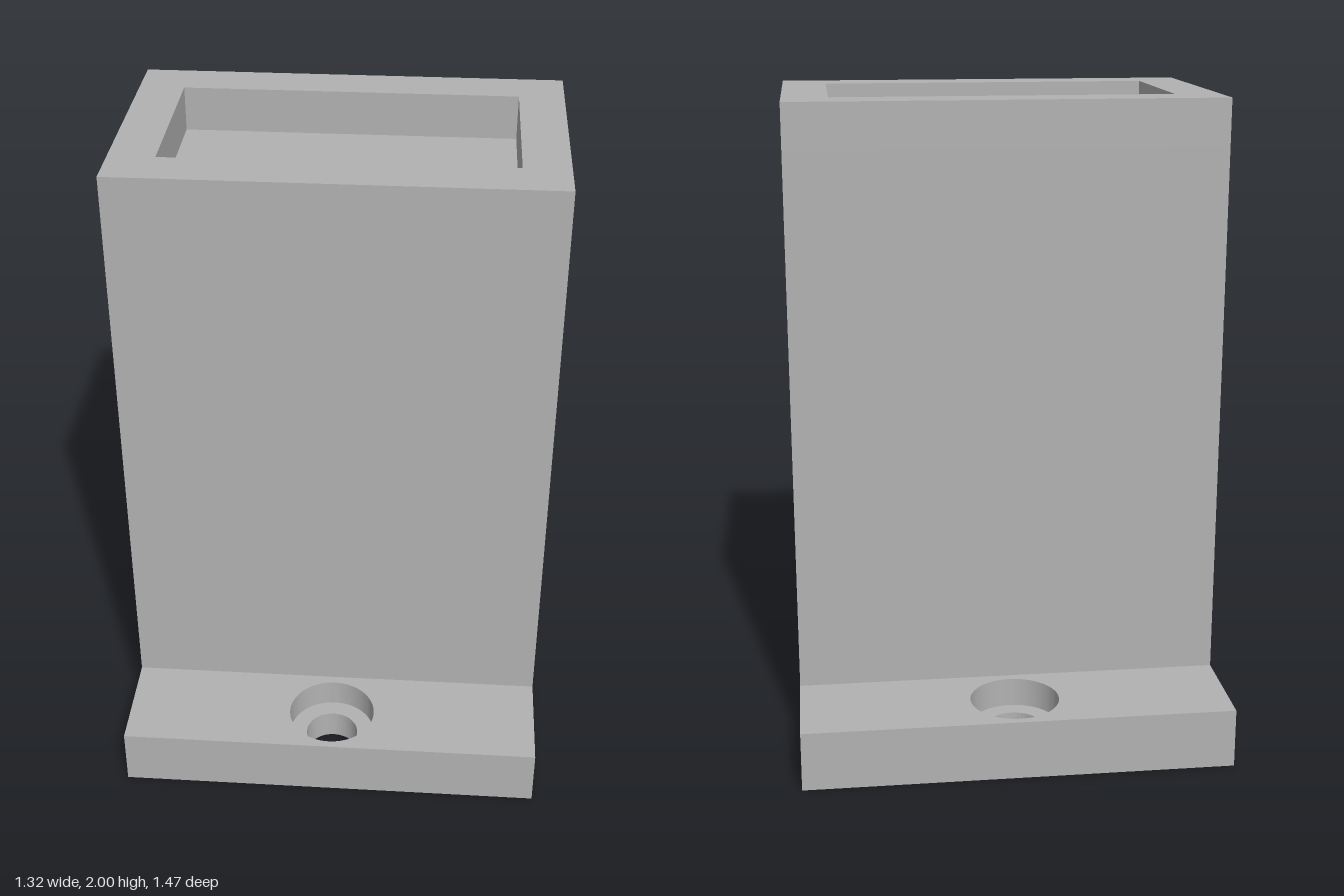
import * as THREE from 'three';
import { toCreasedNormals } from 'three/addons/utils/BufferGeometryUtils.js';

const HALF_W = 0.66, BASE_Z = 0.733, COLUMN_Z = 0.407;
const BASE_TOP = 0.185, SEAT_Y = 0.095, POCKET_Y = 1.86, TOP = 2;
const POCKET_X = 0.52, POCKET_Z = 0.263;
const HOLE_Z = 0.572, BORE_R = 0.083, COUNTERBORE_R = 0.137;

// Outlines are drawn in (x, -z) and laid flat
function trace(path, points) {
  return path.setFromPoints(points.map(([x, y]) => new THREE.Vector2(x, y)));
}
function rect(halfX, y0, y1, holes = []) {
  const shape = trace(new THREE.Shape(), [[-halfX, y0], [halfX, y0], [halfX, y1], [-halfX, y1]]);
  shape.holes.push(...holes);
  return shape;
}
function circle(y, radius, Type = THREE.Path) {
  return new Type().absarc(0, y, radius, 0, Math.PI * 2, false);
}
const bothHoles = (radius) => [-HOLE_Z, HOLE_Z].map((y) => circle(y, radius));

// Vertical walls of an outline and its holes, without end caps
function walls(shape, y0, y1) {
  const solid = new THREE.ExtrudeGeometry(shape, { depth: y1 - y0, bevelEnabled: false, curveSegments: 48 });
  const side = solid.groups[1];
  const geometry = new THREE.BufferGeometry();
  const xyz = solid.getAttribute('position').array;
  geometry.setAttribute('position', new THREE.BufferAttribute(
    xyz.slice(side.start * 3, (side.start + side.count) * 3), 3));
  geometry.rotateX(-Math.PI / 2).translate(0, y0, 0);
  return toCreasedNormals(geometry, 0.5);
}

// Horizontal face looking up (or down)
function face(shape, y, up = true) {
  const geometry = new THREE.ShapeGeometry(shape, 48);
  return geometry.rotateX(up ? -Math.PI / 2 : Math.PI / 2).translate(0, y, 0);
}

export function createModel() {
  const model = new THREE.Group();
  model.name = 'flangedColumn';
  const grey = new THREE.MeshStandardMaterial({ color: 0xb2b2b2 });
  grey.name = 'plain grey';

  function part(name, ...geometries) {
    const group = new THREE.Group();
    group.name = name;
    geometries.forEach((geometry) => {
      const mesh = new THREE.Mesh(geometry, grey);
      mesh.name = name + 'Surface';
      group.add(mesh);
    });
    model.add(group);
  }

  // Base plate with two through bores
  const lower = rect(HALF_W, -BASE_Z, BASE_Z, bothHoles(BORE_R));
  const upper = rect(HALF_W, -BASE_Z, BASE_Z, bothHoles(COUNTERBORE_R));
  part('basePlate', face(lower, 0, false), walls(lower, 0, SEAT_Y), walls(upper, SEAT_Y, BASE_TOP));

  // Flange tops and counterbore seats, front and back
  for (const [name, s] of [['backFlange', 1], ['frontFlange', -1]]) {
    const [y0, y1] = s > 0 ? [COLUMN_Z, BASE_Z] : [-BASE_Z, -COLUMN_Z];
    const seat = circle(s * HOLE_Z, COUNTERBORE_R, THREE.Shape);
    seat.holes.push(circle(s * HOLE_Z, BORE_R));
    part(name, face(rect(HALF_W, y0, y1, [circle(s * HOLE_Z, COUNTERBORE_R)]), BASE_TOP), face(seat, SEAT_Y));
  }

  // Column
  part('column', walls(rect(HALF_W, -COLUMN_Z, COLUMN_Z), BASE_TOP, POCKET_Y));

  // Rim around the shallow pocket, and the pocket floor
  const opening = trace(new THREE.Path(), [
    [-POCKET_X, -POCKET_Z], [-POCKET_X, POCKET_Z], [POCKET_X, POCKET_Z], [POCKET_X, -POCKET_Z]]);
  const rim = rect(HALF_W, -COLUMN_Z, COLUMN_Z, [opening]);
  part('rim', walls(rim, POCKET_Y, TOP), face(rim, TOP));
  part('pocketFloor', face(rect(POCKET_X, -POCKET_Z, POCKET_Z), POCKET_Y));

  return model;
}
